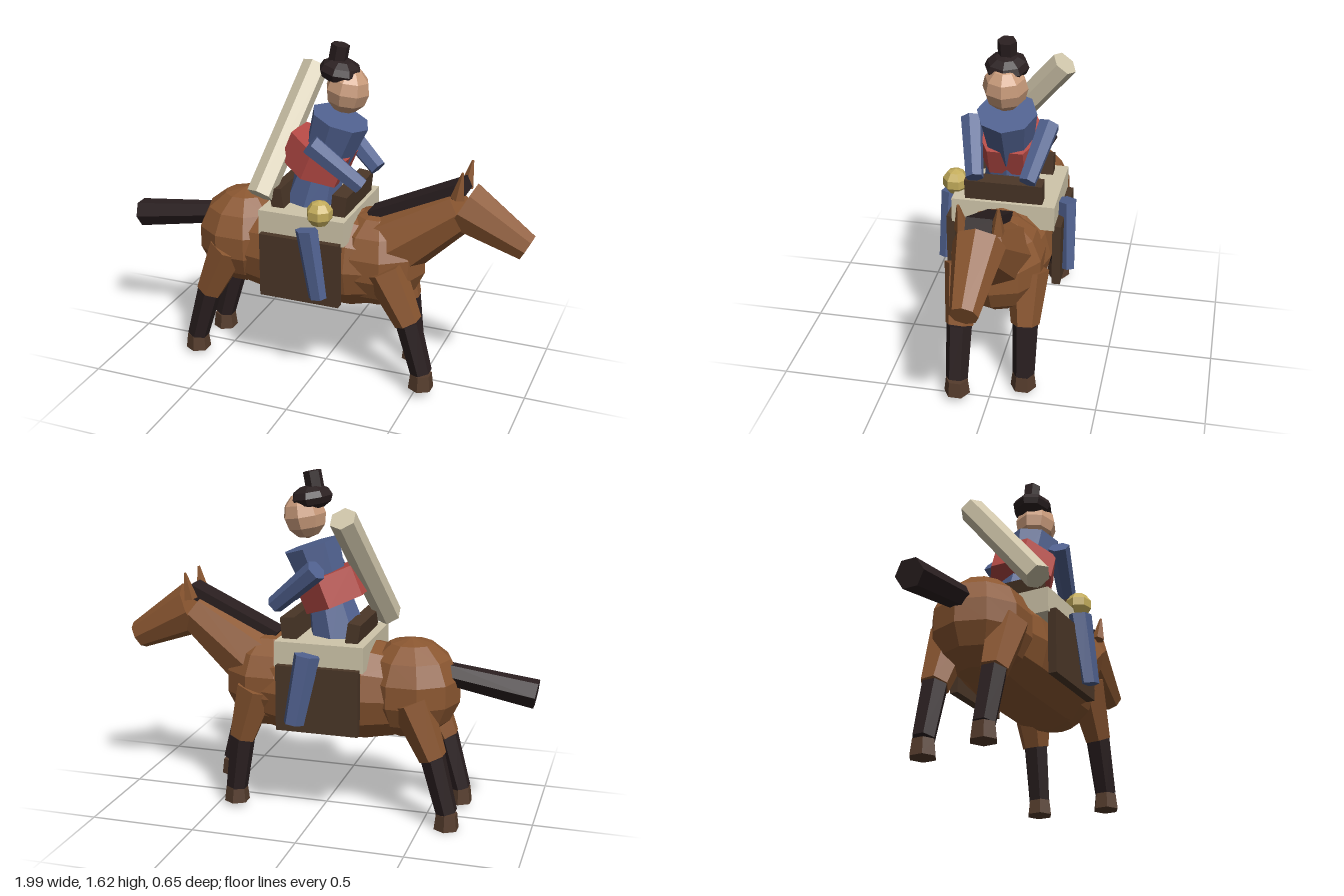
import * as THREE from 'three';

const paint = (name, color) => {
  const m = new THREE.MeshStandardMaterial({ color, flatShading: true });
  m.name = name;
  return m;
};

export function createModel() {
  const coat = paint('chestnut coat', 0x8b5731);
  const dark = paint('black brown hair', 0x2a1f20);
  const hoofMat = paint('hoof brown', 0x553c2c);
  const leather = paint('saddle leather', 0x4a3627);
  const cream = paint('cream cloth', 0xcfc5aa);
  const blue = paint('blue cloth', 0x50618f);
  const red = paint('red sash', 0xb54a45);
  const skin = paint('skin', 0xc99b7b);
  const gold = paint('gourd yellow', 0xc4ad5c);

  const model = new THREE.Group();
  const horse = new THREE.Group();
  horse.name = 'horse';
  const rider = new THREE.Group();
  rider.name = 'rider';
  model.add(horse, rider);

  const add = (group, name, geometry, material, pos = [0, 0, 0], tilt = 0) => {
    const mesh = new THREE.Mesh(geometry, material);
    mesh.name = name;
    mesh.position.set(...pos);
    mesh.rotation.z = tilt;
    group.add(mesh);
    return mesh;
  };
  // tapered rod running from point a to point b
  const rod = (group, name, a, b, ra, rb, material, sides = 6) => {
    const from = new THREE.Vector3(...a), to = new THREE.Vector3(...b);
    const dir = to.clone().sub(from);
    const mesh = add(group, name, new THREE.CylinderGeometry(rb, ra, dir.length(), sides), material);
    mesh.position.copy(from).add(to).multiplyScalar(0.5);
    mesh.quaternion.setFromUnitVectors(new THREE.Vector3(0, 1, 0), dir.normalize());
    return mesh;
  };
  const ball = (r, w = 8, h = 6) => new THREE.SphereGeometry(r, w, h);
  const box = (x, y, z) => new THREE.BoxGeometry(x, y, z);

  // Horse trunk: barrel lathed along x, with rounded rump and chest
  const profile = [[0, -0.57], [0.1, -0.55], [0.2, -0.42], [0.24, -0.22], [0.24, 0.17], [0.2, 0.33], [0.1, 0.45], [0, 0.46]]
    .map(([r, x]) => new THREE.Vector2(r, x));
  add(horse, 'barrel', new THREE.LatheGeometry(profile, 12).rotateZ(-Math.PI / 2), coat, [0, 0.6, 0]).scale.z = 0.95;
  add(horse, 'rump', ball(0.238, 10, 7), coat, [-0.41, 0.625, 0]).scale.z = 0.96;
  add(horse, 'chest', ball(0.235, 10, 7), coat, [0.265, 0.615, 0]).scale.z = 0.95;

  // Neck, head, ears, mane and tail
  rod(horse, 'neck', [0.3, 0.67, 0], [0.66, 0.92, 0], 0.18, 0.105, coat, 8);
  rod(horse, 'head', [0.665, 0.93, 0], [0.963, 0.77, 0], 0.128, 0.068, coat, 8).scale.z = 0.9;
  for (const s of [1, -1]) {
    rod(horse, 'ear', [0.655, 0.99, 0.075 * s], [0.675, 1.115, 0.085 * s], 0.034, 0.006, coat, 5);
  }
  add(horse, 'mane', box(0.48, 0.06, 0.115), dark, [0.455, 0.925, 0], 0.44);
  rod(horse, 'tail', [-0.58, 0.705, 0], [-0.99, 0.64, 0], 0.055, 0.069, dark);

  // Legs: hip, knee, ankle as x and y, plus the side
  const legs = [
    ['frontLeftLeg', [0.34, 0.62], [0.465, 0.37], [0.535, 0.12], 0.04, -1 * -1],
    ['frontRightLeg', [0.3, 0.6], [0.375, 0.35], [0.41, 0.085], 0.02, -1],
    ['rearLeftLeg', [-0.44, 0.6], [-0.555, 0.35], [-0.63, 0.09], 0.02, 1],
    ['rearRightLeg', [-0.44, 0.6], [-0.55, 0.34], [-0.62, 0.08], 0, -1],
  ];
  for (const [name, hip, knee, ankle, ground, s] of legs) {
    const leg = new THREE.Group();
    leg.name = name;
    horse.add(leg);
    const z = 0.145 * s;
    rod(leg, 'upperLeg', [...hip, 0.14 * s], [...knee, z], 0.1, 0.066, coat);
    rod(leg, 'lowerLeg', [...knee, z], [...ankle, z], 0.06, 0.052, dark);
    rod(leg, 'hoof', [ankle[0], ground, z], [ankle[0], ground + 0.075, z], 0.061, 0.052, hoofMat);
  }

  // Saddle
  const saddle = new THREE.Group();
  saddle.name = 'saddle';
  horse.add(saddle);
  add(saddle, 'saddleCloth', box(0.42, 0.12, 0.48), cream, [-0.03, 0.8, 0]);
  for (const s of [1, -1]) add(saddle, 'saddleFlap', box(0.39, 0.31, 0.04), leather, [-0.03, 0.6, 0.25 * s]);
  add(saddle, 'pommel', box(0.07, 0.12, 0.36), leather, [0.13, 0.9, 0], -0.1);
  add(saddle, 'cantle', box(0.06, 0.1, 0.36), leather, [-0.175, 0.9, 0], 0.15);

  // Rider's body, leaning forward
  rod(rider, 'skirt', [-0.065, 0.83, 0], [-0.01, 1.06, 0], 0.14, 0.1, blue, 8);
  rod(rider, 'torso', [-0.005, 1.04, 0], [0.073, 1.27, 0], 0.105, 0.138, blue, 8);
  rod(rider, 'sash', [-0.06, 1.01, 0], [-0.005, 1.145, 0], 0.165, 0.165, red, 6);
  for (const s of [1, -1]) {
    rod(rider, 'arm', [-0.005, 1.19, 0.18 * s], [0.215, 1.0, 0.12 * s], 0.052, 0.042, blue);
    rod(rider, 'leg', [0.012, 0.815, 0.272 * s], [0.072, 0.49, 0.288 * s], 0.063, 0.05, blue, 6).scale.z = 0.75;
  }

  // Head, hair cap and topknot
  add(rider, 'head', ball(0.103, 8, 6), skin, [0.105, 1.405, 0], -0.17).scale.y = 1.05;
  add(rider, 'hair', ball(0.1, 8, 6), dark, [0.07, 1.49, 0], -0.17).scale.y = 0.58;
  rod(rider, 'topknot', [0.055, 1.53, 0], [0.07, 1.61, 0], 0.043, 0.043, dark);

  // Long case slung across the back and a gourd at the hip
  rod(rider, 'backCase', [-0.25, 0.915, 0.195], [-0.14, 1.435, -0.225], 0.064, 0.064, cream);
  add(rider, 'gourd', ball(0.063, 7, 5), gold, [0.065, 0.892, 0.245]);

  return model;
}
